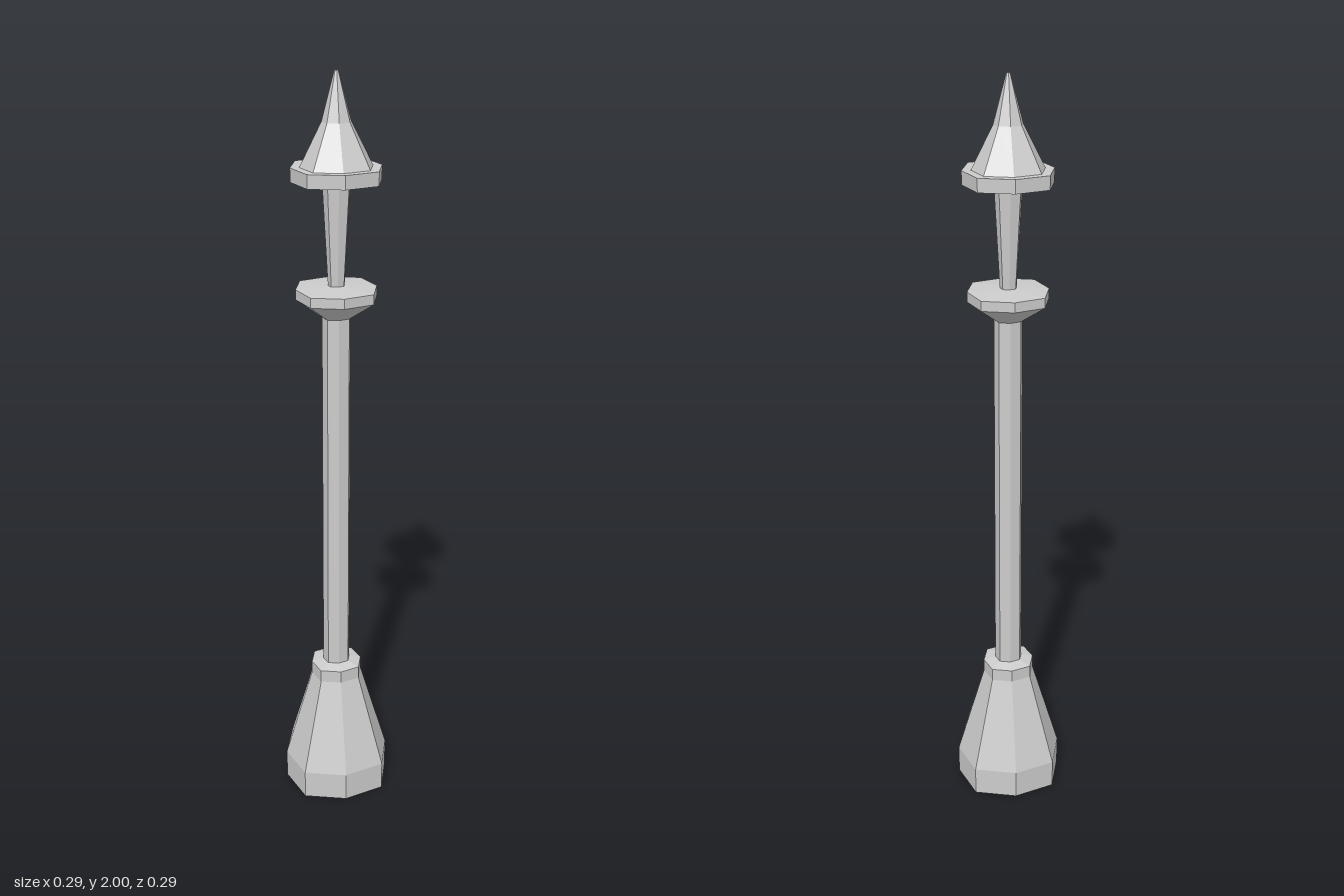
import * as THREE from 'three';

const material = new THREE.MeshStandardMaterial({ color: 0xcccccc, flatShading: true });

// Eight-sided turned part from [radius, height] pairs listed bottom to top.
// The corners on the diagonals sit slightly further out than those on the axes.
function turned(name, profile) {
  const points = profile.map(([r, y]) => new THREE.Vector2(r, y));
  const geometry = new THREE.LatheGeometry(points, 8);
  const pos = geometry.attributes.position;
  for (let i = 0; i < pos.count; i++) {
    const x = pos.getX(i), z = pos.getZ(i);
    if (Math.abs(x) > 0.001 && Math.abs(z) > 0.001) {
      pos.setX(i, x * 1.08);
      pos.setZ(i, z * 1.08);
    }
  }
  geometry.computeVertexNormals();
  const mesh = new THREE.Mesh(geometry, material);
  mesh.name = name;
  return mesh;
}

export function createModel() {
  const group = new THREE.Group();
  group.name = 'post';
  group.add(
    // Tapered foot with a short plinth and a small collar
    turned('base', [[0, 0], [0.146, 0], [0.146, 0.08], [0.07, 0.34], [0.07, 0.375], [0.036, 0.384], [0, 0.384]]),
    // Long straight pole
    turned('shaft', [[0.037, 0.38], [0.037, 1.395]]),
    // Flared collar above the pole
    turned('collar', [[0, 1.39], [0.037, 1.39], [0.105, 1.44], [0.105, 1.466], [0.021, 1.473], [0, 1.473]]),
    // Neck widening upwards
    turned('neck', [[0.021, 1.465], [0.036, 1.74]]),
    // Flat plate under the spire
    turned('capPlate', [[0, 1.737], [0.115, 1.737], [0.115, 1.772], [0, 1.772]]),
    // Two-stage pointed spire
    turned('spire', [[0.092, 1.772], [0.037, 1.88], [0.005, 2], [0, 2]]),
  );
  return group;
}
